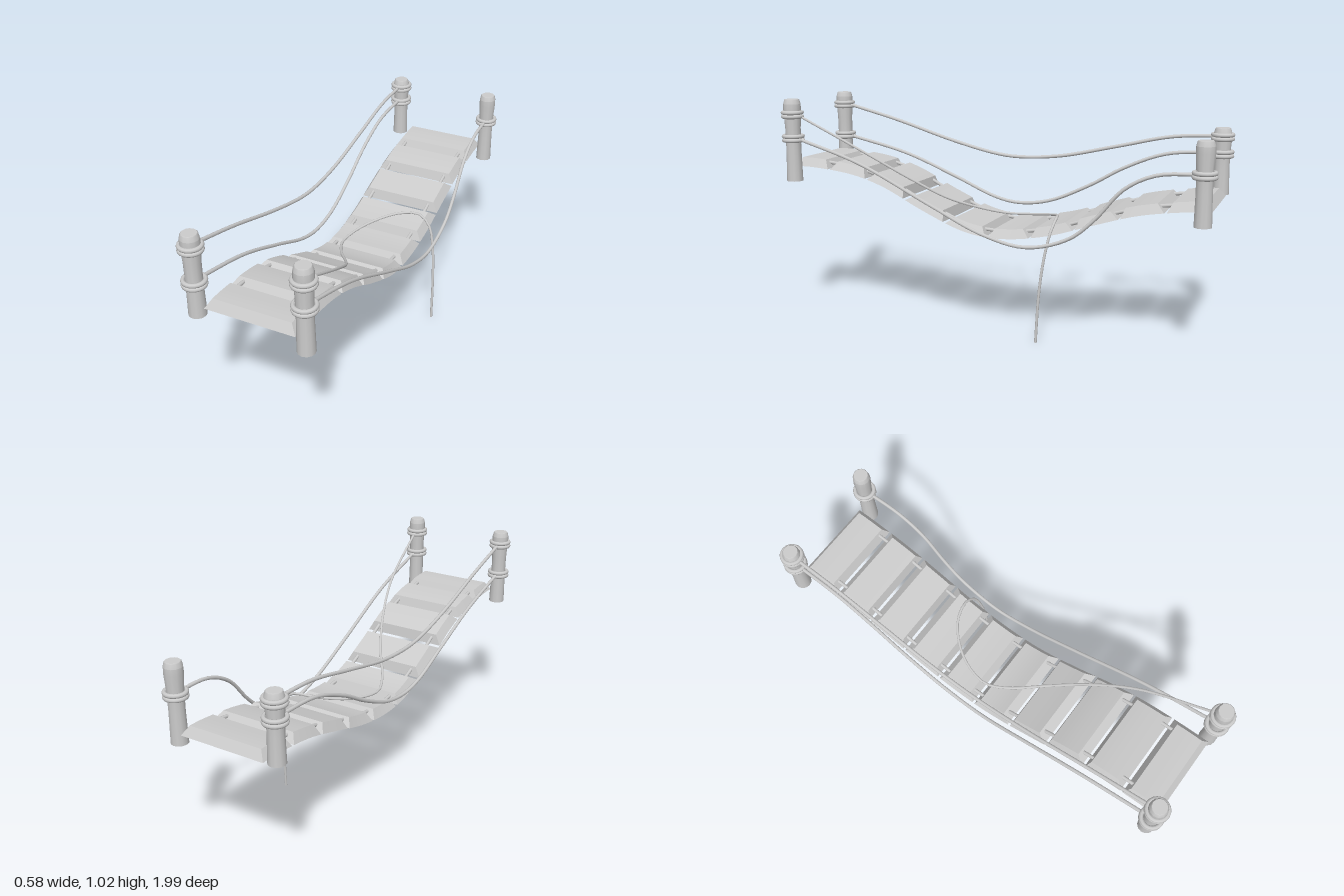
import * as THREE from 'three';

const grey = new THREE.MeshStandardMaterial({ color: 0xcccccc });
const V = (p) => new THREE.Vector3(p[0], p[1], p[2]);

function add(parent, geometry, name) {
  const mesh = new THREE.Mesh(geometry, grey);
  mesh.name = name;
  parent.add(mesh);
  return mesh;
}

// Sagging centre line of the deck: [z, y]
const deck = new THREE.SplineCurve([
  [0.98, 0.718], [0.86, 0.718], [0.66, 0.695], [0.49, 0.643], [0.3, 0.55], [0.1, 0.47], [-0.08, 0.453],
  [-0.28, 0.483], [-0.48, 0.545], [-0.67, 0.6], [-0.87, 0.63], [-0.99, 0.635],
].map(([z, y]) => new THREE.Vector2(z, y)));

// Deck point and upward normal at a given z
function deckAt(z) {
  let lo = 0, hi = 1;
  for (let i = 0; i < 24; i++) {
    const mid = (lo + hi) / 2;
    if (deck.getPoint(mid).x > z) lo = mid; else hi = mid;
  }
  const p = deck.getPoint(lo), t = deck.getTangent(lo);
  return { z: p.x, y: p.y, nz: t.y, ny: -t.x };
}

// Bevelled board bent along the deck line
function plank(z0, z1) {
  const half = 0.0195, inset = 0.026, width = 0.395;
  const geo = new THREE.BoxGeometry(width, half * 2, 1, 1, 1, 6);
  const pos = geo.attributes.position;
  for (let i = 0; i < pos.count; i++) {
    const top = pos.getY(i) > 0;
    const len = z1 - z0 - (top ? 2 * inset : 0);
    const d = deckAt((z0 + z1) / 2 + pos.getZ(i) * len);
    const off = top ? half : -half;
    const x = pos.getX(i) * (top ? 1 - 2 * inset / width : 1);
    pos.setXYZ(i, x + 0.0025, d.y + d.ny * off, d.z + d.nz * off);
  }
  geo.computeVertexNormals();
  return geo;
}

// Rope through points, closed with flat ends
function rope(parent, name, points, radius) {
  const curve = new THREE.CatmullRomCurve3(points.map(V));
  const group = new THREE.Group();
  group.name = name;
  parent.add(group);
  add(group, new THREE.TubeGeometry(curve, 56, radius, 8), name + 'Strand');
  for (const t of [0, 1]) {
    const cap = add(group, new THREE.CircleGeometry(radius, 8), name + 'End');
    cap.position.copy(curve.getPoint(t));
    const dir = curve.getTangent(t).multiplyScalar(t ? 1 : -1);
    cap.quaternion.setFromUnitVectors(new THREE.Vector3(0, 0, 1), dir);
  }
}

// Turned wooden post with rope windings at the given heights
function post(parent, name, x, z, bottom, top, ringHeights) {
  const group = new THREE.Group();
  group.name = name;
  group.position.set(x, 0, z);
  parent.add(group);
  const h = top - bottom;
  const profile = [
    [0, bottom], [0.037, bottom], [0.037, bottom], [0.034, bottom + h * 0.4], [0.035, bottom + h * 0.65],
    [0.04, top - 0.05], [0.039, top - 0.022], [0.039, top - 0.022], [0.034, top - 0.003],
    [0.031, top], [0.031, top], [0, top],
  ].map(([r, y]) => new THREE.Vector2(r, y));
  add(group, new THREE.LatheGeometry(profile, 12), name + 'Shaft');
  for (const y of ringHeights) {
    for (const s of [-1, 1]) {
      const ring = add(group, new THREE.TorusGeometry(0.043, 0.0095, 8, 20), name + 'Winding');
      ring.rotation.x = Math.PI / 2;
      ring.position.y = y + s * 0.009;
    }
  }
}

export function createModel() {
  const model = new THREE.Group();
  model.name = 'ropeBridge';

  // Boards of the walkway
  const count = 10, pitch = 0.1955, first = -0.972, length = 0.184;
  for (let i = 0; i < count; i++) {
    const z0 = first + i * pitch;
    const z1 = Math.min(z0 + length, 0.96);
    add(model, plank(z0, z1), 'plank');
    // Short cords joining neighbouring boards
    if (i < count - 1) {
      for (const x of [-0.145, 0.148]) {
        const a = deckAt(z1 - 0.03), b = deckAt(z1 + 0.04);
        const line = new THREE.LineCurve3(V([x, a.y + 0.004, a.z]), V([x, b.y + 0.004, b.z]));
        add(model, new THREE.TubeGeometry(line, 1, 0.008, 8), 'plankCord');
      }
    }
  }

  // Four posts
  post(model, 'frontLeftPost', 0.236, 0.943, 0.637, 1.015, [0.945, 0.836]);
  post(model, 'frontRightPost', -0.238, 0.943, 0.652, 1.015, [0.954, 0.8]);
  post(model, 'backLeftPost', 0.236, -0.943, 0.562, 0.91, [0.772]);
  post(model, 'backRightPost', -0.238, -0.943, 0.615, 0.91, [0.87, 0.795]);

  // Handrail ropes
  rope(model, 'upperRightRope', [
    [-0.24, 0.957, 0.93], [-0.243, 0.885, 0.65], [-0.245, 0.795, 0.35], [-0.244, 0.742, 0.12],
    [-0.244, 0.732, 0], [-0.244, 0.747, -0.2], [-0.243, 0.805, -0.47], [-0.242, 0.86, -0.72], [-0.24, 0.873, -0.93],
  ], 0.008);
  rope(model, 'lowerRightRope', [
    [-0.24, 0.8, 0.93], [-0.244, 0.72, 0.6], [-0.243, 0.62, 0.34], [-0.24, 0.53, 0.12], [-0.238, 0.511, 0],
    [-0.238, 0.532, -0.15], [-0.241, 0.615, -0.34], [-0.243, 0.71, -0.51], [-0.242, 0.782, -0.7], [-0.24, 0.8, -0.93],
  ], 0.008);
  rope(model, 'lowerLeftRope', [
    [0.238, 0.838, 0.93], [0.242, 0.735, 0.6], [0.246, 0.57, 0.25], [0.25, 0.458, 0], [0.25, 0.418, -0.2],
    [0.25, 0.47, -0.39], [0.248, 0.56, -0.5], [0.245, 0.695, -0.62], [0.242, 0.76, -0.75], [0.238, 0.774, -0.93],
  ], 0.008);

  // Snapped rope trailing over the deck and hanging off the side
  rope(model, 'brokenRope', [
    [0.236, 0.95, 0.93], [0.19, 0.78, 0.6], [0.12, 0.657, 0.4], [0.04, 0.565, 0.25], [-0.06, 0.505, 0.1],
    [-0.1, 0.486, 0], [-0.085, 0.492, -0.1], [-0.03, 0.508, -0.2], [0.06, 0.528, -0.28], [0.15, 0.532, -0.305],
    [0.205, 0.485, -0.298], [0.235, 0.38, -0.28], [0.25, 0.22, -0.262], [0.255, 0, -0.25],
  ], 0.006);

  return model;
}
